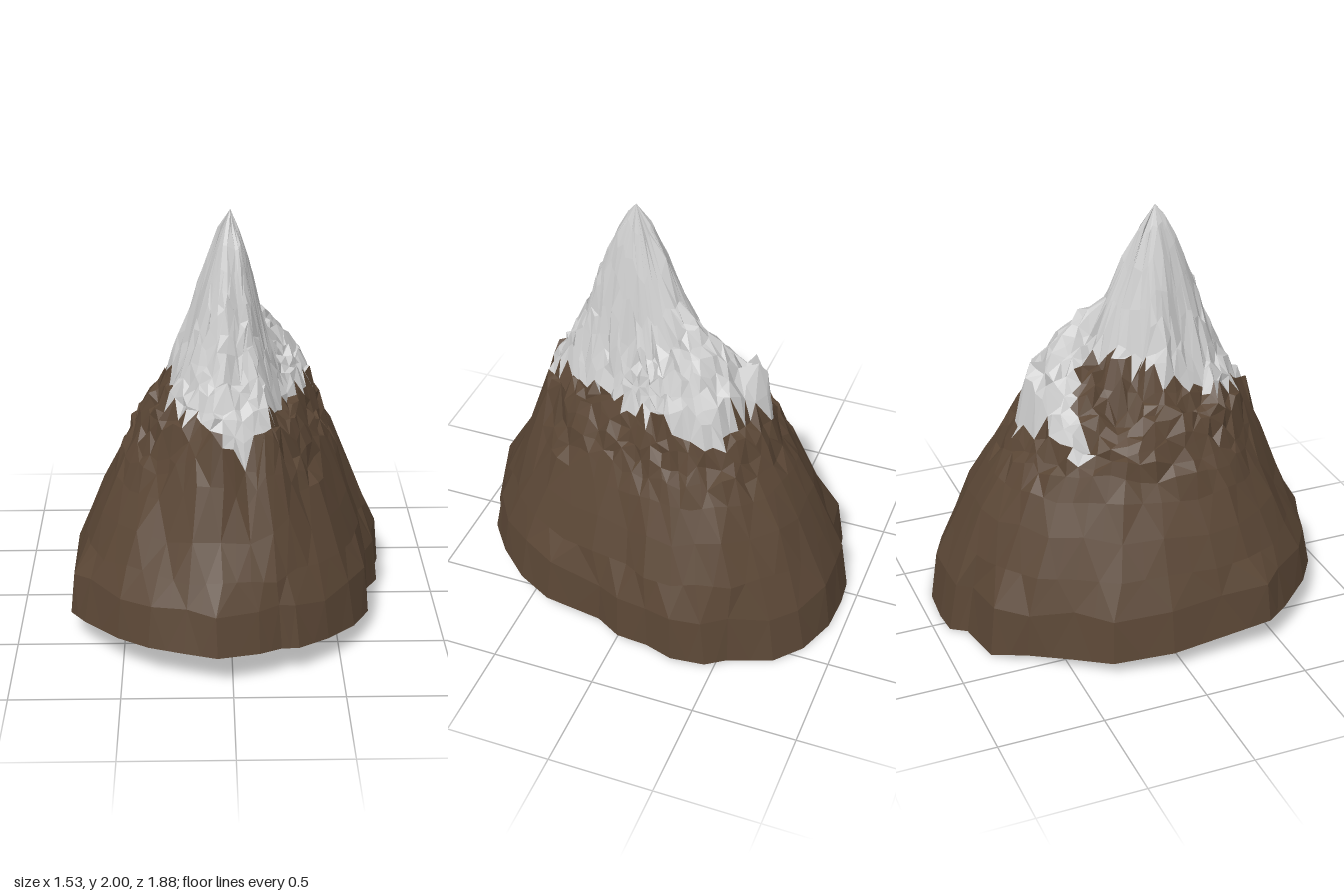
import * as THREE from 'three';

// Outline of the open foot as x, z pairs, running front -> +x -> back -> -x
const RIM = [
  [-0.07, 0.94], [0.12, 0.88], [0.22, 0.82], [0.3, 0.81], [0.44, 0.7], [0.57, 0.55], [0.65, 0.38], [0.67, 0.1],
  [0.73, -0.02], [0.73, -0.17], [0.76, -0.3], [0.73, -0.46], [0.66, -0.55], [0.57, -0.75], [0.44, -0.86],
  [0.25, -0.93], [0.07, -0.94], [-0.06, -0.93], [-0.12, -0.86], [-0.36, -0.82], [-0.45, -0.67], [-0.58, -0.5],
  [-0.71, -0.34], [-0.77, -0.06], [-0.76, 0.2], [-0.75, 0.44], [-0.68, 0.55], [-0.52, 0.73], [-0.38, 0.83], [-0.22, 0.89],
];
// Fractions of the foot outline at which rings of vertices sit
const RINGS = [1, 0.96, 0.9, 0.81, 0.72, 0.66, 0.62, 0.58, 0.54, 0.5, 0.46, 0.42, 0.38, 0.34, 0.3, 0.26, 0.2, 0.135, 0.065];
// Height profiles: distance, height
const SKIRT = [[0, 1.1], [0.45, 1.12], [0.52, 1.07], [0.575, 1.0], [0.635, 0.9], [0.71, 0.78], [0.815, 0.6], [0.91, 0.42], [0.965, 0.28], [1, 0.08]];
const SUMMIT = [[0, 2], [0.05, 1.91], [0.1, 1.79], [0.16, 1.59], [0.21, 1.4], [0.29, 1.2], [0.37, 1.04], [0.6, 0.2], [2, -6]];
const PEAK_Z = 0.15;

// Lesser peaks: x, z, height, fall-off per unit in x and z
const CRAGS = [
  [0.02, 0.03, 1.83, 2.8, 2.4],
  [0.1, -0.16, 1.52, 1.3, 1.25], [0.05, -0.25, 1.42, 1.6, 1.3], [0.2, -0.08, 1.36, 1.3, 0.9],
  [-0.01, -0.46, 1.34, 1.25, 1.5], [-0.16, -0.41, 1.2, 0.9, 2.2], [0.35, -0.33, 1.24, 1.6, 1.2],
  [0.28, 0.05, 1.24, 1.6, 0.9], [-0.26, 0.33, 1.2, 1.5, 1.2], [0, 0.5, 1.3, 0.9, 2], [-0.38, 0.12, 1.12, 1.2, 0.5],
];
// Places where the snow reaches lower or stops higher: x, z, radius, change of snow line
const SNOW = [
  [0.04, 0.57, 0.1, -0.14], [0.42, -0.36, 0.14, -0.16], [-0.02, -0.58, 0.14, -0.18], [-0.36, -0.35, 0.13, -0.2],
  [-0.22, -0.37, 0.14, -0.1], [-0.24, -0.12, 0.15, 0.2], [-0.13, -0.2, 0.09, 0.3], [-0.4, 0.05, 0.24, 0.12],
];

let seed = 11;
function rand() {
  seed = (seed * 16807) % 2147483647;
  return seed / 2147483647 - 0.5;
}

function profile(points, d) {
  for (let i = 1; i < points.length; i++) {
    const [d0, h0] = points[i - 1], [d1, h1] = points[i];
    if (d <= d1) return h0 + (h1 - h0) * (d - d0) / (d1 - d0);
  }
  return points[points.length - 1][1];
}

const falloff = (x, z, px, pz, r) => Math.exp(-((x - px) ** 2 + (z - pz) ** 2) / (r * r));

// Height of the rock at x, z on ring t
function height(x, z, t) {
  let h = profile(SKIRT, t);
  // gully between the summit and the rear peak
  if (t < 0.6) h -= 0.14 * falloff(x, z, -0.24, -0.18, 0.14);
  const dx = x * (x > 0 ? 1.25 : 1), dz = (z - PEAK_Z) * 0.82;
  const a = Math.atan2(dx, dz);
  const flute = 1 + 0.05 * Math.sin(a * 5 + 1) + 0.04 * Math.sin(a * 8);
  h = Math.max(h, profile(SUMMIT, Math.hypot(dx, dz) * flute));
  // crags sink away over the shoulder
  const sink = Math.max(0, t - 0.52) * 4;
  for (const [px, pz, top, fx, fz] of CRAGS) {
    h = Math.max(h, top - sink - Math.hypot((x - px) * fx, (z - pz) * fz));
  }
  return h;
}

function snowLine(x, z) {
  let line = 1.13;
  for (const [px, pz, r, change] of SNOW) line += change * falloff(x, z, px, pz, r);
  return line;
}

// Foot outline with a midpoint between each pair of corners
function outline() {
  return RIM.flatMap((p, i) => {
    const q = RIM[(i + 1) % RIM.length];
    return [p, [(p[0] + q[0]) / 2, (p[1] + q[1]) / 2]];
  });
}

// Outline with its notches evened out, used above the foot
function soften(rim) {
  const n = rim.length;
  return rim.map((p, j) => [0, 1].map((k) => (p[k] + rim[(j + 2) % n][k] + rim[(j + n - 2) % n][k]) / 3));
}

function buildRings() {
  const rim = outline();
  const soft = soften(rim);
  return RINGS.map((t) => {
    // the shoulder is craggy, the foot and summit are smoother
    const craggy = t < 0.67 && t > 0.25;
    const rough = craggy ? 0.03 : 0.018;
    const lift = craggy ? 0.065 : 0.035;
    const shift = PEAK_Z * Math.max(0, 1 - t / 0.55) + 0.015 * Math.sin(Math.PI * t);
    const ring = (t > 0.93 ? rim : soft).map(([rx, rz], j) => {
      if (t === 1) return new THREE.Vector3(rx, Math.max(0, 0.08 + 0.085 * rz - 0.025 * rx), rz);
      const groove = 1 + 0.012 * Math.sin(j * 1.9) * Math.sin(t * 9);
      const x = rx * t * groove + rand() * rough;
      const z = rz * t * groove + shift + rand() * rough;
      // the foot is cut on a slant
      const slant = (0.085 * z - 0.025 * x) * Math.max(0, (t - 0.85) / 0.15);
      return new THREE.Vector3(x, height(x, z, t) + rand() * lift + slant, z);
    });
    // broad facets on the summit and the lower slopes
    if (!craggy) {
      for (let j = 1; j < ring.length; j += 2) {
        ring[j].lerpVectors(ring[j - 1], ring[(j + 1) % ring.length], 0.5);
      }
    }
    return ring;
  });
}

function makeMesh(name, positions, color) {
  const geometry = new THREE.BufferGeometry();
  geometry.setAttribute('position', new THREE.Float32BufferAttribute(positions, 3));
  geometry.computeVertexNormals();
  const material = new THREE.MeshStandardMaterial({ color, flatShading: true, side: THREE.DoubleSide });
  const mesh = new THREE.Mesh(geometry, material);
  mesh.name = name;
  return mesh;
}

export function createModel() {
  seed = 11;
  const rock = [], snow = [];
  // each facet goes to snow or rock by its height against the local snow line
  const addFace = (a, b, c) => {
    const x = (a.x + b.x + c.x) / 3, y = (a.y + b.y + c.y) / 3, z = (a.z + b.z + c.z) / 3;
    const target = y > snowLine(x, z) ? snow : rock;
    for (const p of [a, b, c]) target.push(p.x, p.y, p.z);
  };

  const rings = buildRings();
  const n = rings[0].length;
  for (let i = 0; i + 1 < rings.length; i++) {
    for (let j = 0; j < n; j++) {
      const k = (j + 1) % n;
      const a = rings[i][j], b = rings[i][k], c = rings[i + 1][k], d = rings[i + 1][j];
      if ((i + j) % 2) {
        addFace(a, b, c);
        addFace(a, c, d);
      } else {
        addFace(a, b, d);
        addFace(b, c, d);
      }
    }
  }
  // summit tip
  const tip = new THREE.Vector3(0, 2, PEAK_Z);
  const last = rings[rings.length - 1];
  for (let j = 0; j < n; j++) addFace(last[j], last[(j + 1) % n], tip);

  const group = new THREE.Group();
  group.name = 'mountain';
  group.add(makeMesh('rockSlopes', rock, 0x5a4635), makeMesh('snowCap', snow, 0xcccccc));
  return group;
}
